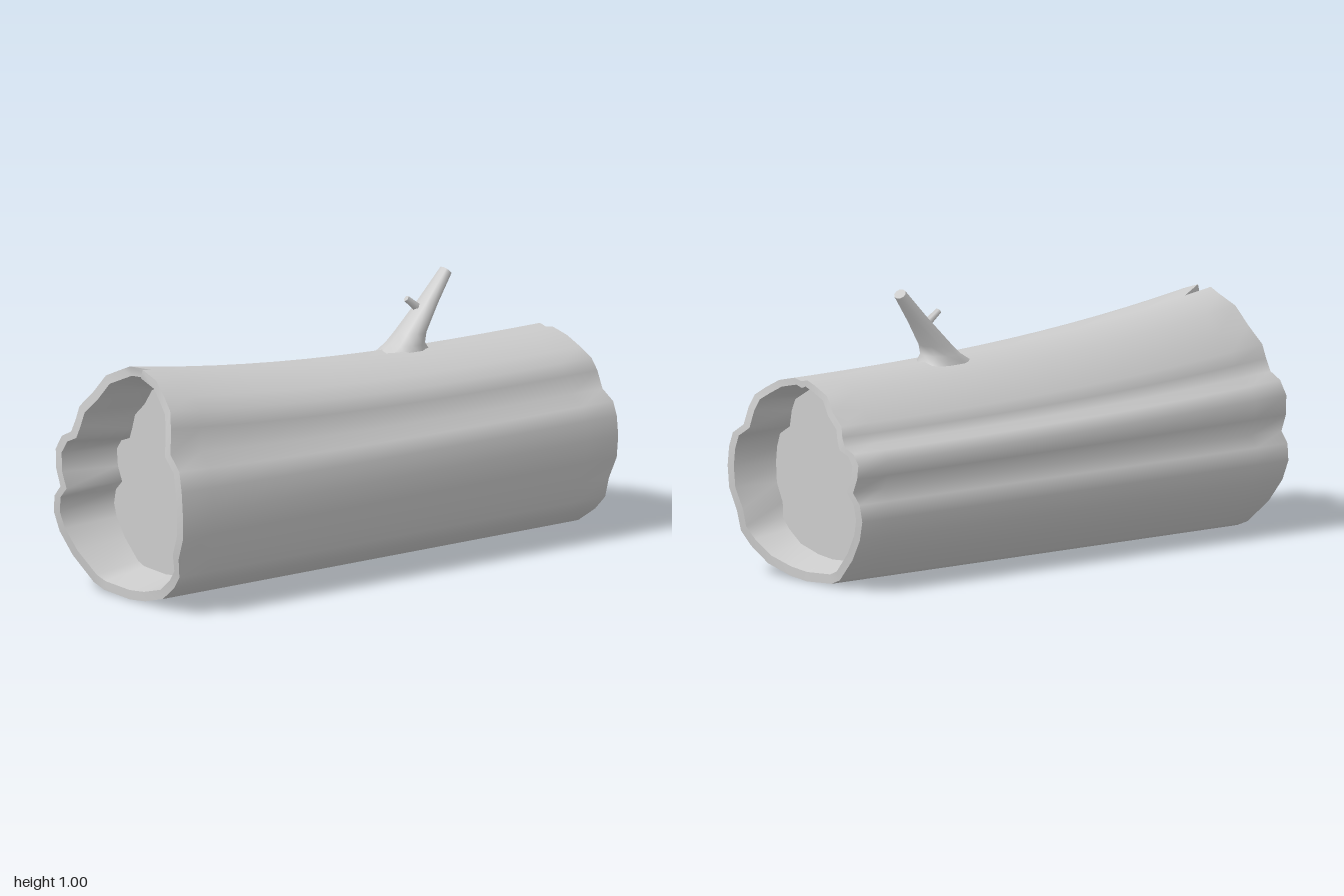
import * as THREE from 'three';

const material = new THREE.MeshStandardMaterial({ color: 0xcccccc });

// Cross-section of the trunk at its front end, clockwise from the top as seen from +z
const outline = [
  [0.02, 0.845], [0.06, 0.855], [0.14, 0.83], [0.2, 0.785], [0.25, 0.74], [0.27, 0.68], [0.285, 0.59],
  [0.34, 0.54], [0.357, 0.47], [0.365, 0.38], [0.36, 0.3], [0.325, 0.22], [0.315, 0.15], [0.27, 0.1],
  [0.19, 0.045], [0.08, 0.015], [-0.01, 0.005], [-0.15, 0.015], [-0.2, 0.035], [-0.29, 0.12],
  [-0.345, 0.2], [-0.367, 0.27], [-0.357, 0.33], [-0.322, 0.37], [-0.345, 0.43], [-0.35, 0.5],
  [-0.32, 0.55], [-0.27, 0.575], [-0.252, 0.62], [-0.24, 0.67], [-0.18, 0.73], [-0.13, 0.8],
  [-0.05, 0.838], [-0.01, 0.855],
].map(([x, y]) => new THREE.Vector2(x, y));

// Move the outline inwards by a distance
function inset(points, d) {
  const n = points.length;
  return points.map((p, i) => {
    const t = points[(i + 2) % n].clone().sub(points[(i + n - 2) % n]).normalize();
    return new THREE.Vector2(p.x + t.y * d, p.y - t.x * d);
  });
}

// Skin a list of closed rings with equal point counts
function loft(rings) {
  const n = rings[0].length;
  const index = [];
  for (let i = 0; i < rings.length - 1; i++) {
    for (let j = 0; j < n; j++) {
      const a = i * n + j, b = i * n + (j + 1) % n;
      index.push(a, b, a + n, b, b + n, a + n);
    }
  }
  const geometry = new THREE.BufferGeometry().setFromPoints(rings.flat());
  geometry.setIndex(index);
  geometry.computeVertexNormals();
  return geometry;
}

// The top of the trunk sinks towards the back
function place(p, z) {
  const s = Math.max(0, (z + 0.95) / 1.88);
  const k = 0.725 + 0.275 * s ** 2.5;
  return new THREE.Vector3(p.x, p.y > 0.4 ? 0.4 + (p.y - 0.4) * k : p.y, z);
}

// Ragged ends: top and bottom recede, with a split at the front top
const recede = (i) => 0.065 * Math.min(1, Math.abs((outline[i].y - 0.42) / 0.42)) ** 2.2;
const frontZ = (i) => (i === 0 ? 0.84 : 1 - recede(i));
const backZ = (i) => -1 + recede(i) * 0.8;

const collapse = (ring) => {
  const centre = new THREE.Vector3(0, 0.4, ring[0].z);
  return ring.map(() => centre.clone());
};

export function createModel() {
  const model = new THREE.Group();
  const add = (name, geometry, parent = model) => {
    const mesh = new THREE.Mesh(geometry, material);
    mesh.name = name;
    parent.add(mesh);
    return mesh;
  };

  // Bark
  const steps = 14;
  const bark = [];
  for (let s = 0; s <= steps; s++) {
    bark.push(outline.map((p, i) => place(p, THREE.MathUtils.lerp(frontZ(i), backZ(i), s / steps))));
  }
  add('bark', loft(bark));

  // Rims, hollow walls and end floors
  const rimLine = inset(outline, 0.034);
  const floorLine = inset(outline, 0.066);
  const ends = [
    { name: 'front', z: frontZ, floorZ: 0.77, outer: bark[0] },
    { name: 'back', z: backZ, floorZ: -0.83, outer: bark[steps] },
  ];
  for (const { name, z, floorZ, outer } of ends) {
    const rim = rimLine.map((p, i) => place(p, z(i)));
    const floor = floorLine.map((p) => place(p, floorZ));
    const skin = (a, b) => loft(name === 'front' ? [a, b] : [b, a]);
    add(name + 'Rim', skin(rim, outer));
    add(name + 'HollowWall', skin(floor, rim));
    add(name + 'HollowFloor', skin(collapse(floor), floor));
  }

  // Broken branch: front z, front y, back z, back y, half width
  const branch = new THREE.Group();
  branch.name = 'branch';
  model.add(branch);
  const sides = 10;
  const rings = [
    [-0.19, 0.725, -0.42, 0.72, 0.08],
    [-0.25, 0.757, -0.39, 0.755, 0.072],
    [-0.29, 0.795, -0.4, 0.79, 0.06],
    [-0.4, 0.905, -0.455, 0.88, 0.042],
    [-0.493, 1.005, -0.52, 0.975, 0.028],
  ].map(([fz, fy, bz, by, w]) => Array.from({ length: sides }, (_, j) => {
    const a = (j / sides) * Math.PI * 2;
    const t = (1 - Math.cos(a)) / 2;
    return new THREE.Vector3(
      Math.sin(a) * w, THREE.MathUtils.lerp(fy, by, t), THREE.MathUtils.lerp(fz, bz, t));
  }));
  add('branchStem', loft(rings), branch);
  const tip = rings[rings.length - 1];
  add('branchTip', loft([tip, tip.map(() => new THREE.Vector3(0, 0.99, -0.5065))]), branch);

  // Small twig on the front of the branch
  const from = new THREE.Vector3(-0.003, 0.865, -0.39);
  const to = new THREE.Vector3(-0.01, 0.912, -0.333);
  const direction = to.clone().sub(from);
  const twig = add('twig', new THREE.CylinderGeometry(0.012, 0.017, direction.length(), 5), branch);
  twig.position.copy(from).add(to).multiplyScalar(0.5);
  twig.quaternion.setFromUnitVectors(new THREE.Vector3(0, 1, 0), direction.normalize());

  return model;
}
